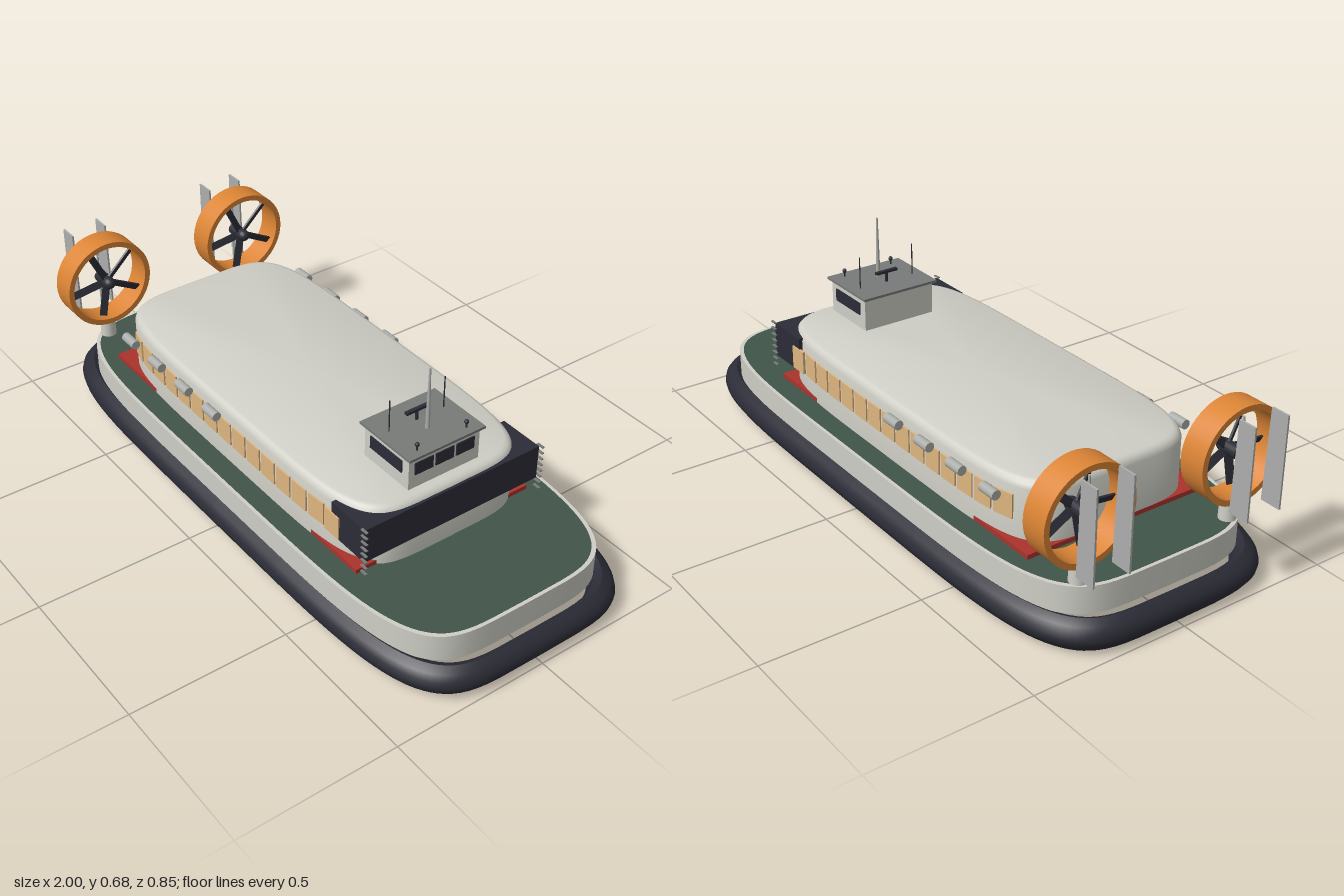
import * as THREE from 'three';
import { toCreasedNormals } from 'three/addons/utils/BufferGeometryUtils.js';

const mat = (name, color) => {
  const m = new THREE.MeshStandardMaterial({ color });
  m.name = name;
  return m;
};

// Stack of rounded-rectangle rings. Each row is [inset, y]; a null inset closes to the centre.
function loft(rows, a, b, n, cx = 0, seg = 96) {
  const pos = [], idx = [];
  const pow = (v) => Math.sign(v) * Math.abs(v) ** (2 / n);
  for (const [inset, y] of rows) {
    for (let j = 0; j < seg; j++) {
      const t = (j / seg) * Math.PI * 2;
      const rx = inset === null ? 0 : a - inset, rz = inset === null ? 0 : b - inset;
      pos.push(cx + rx * pow(Math.cos(t)), y, rz * pow(Math.sin(t)));
    }
  }
  for (let i = 0; i < rows.length - 1; i++) {
    for (let j = 0; j < seg; j++) {
      const k = (j + 1) % seg, p = i * seg, q = p + seg;
      if (rows[i + 1][0] !== null) idx.push(q + j, q + k, p + k);
      if (rows[i][0] !== null) idx.push(p + j, q + j, p + k);
      else continue;
    }
  }
  const g = new THREE.BufferGeometry();
  g.setAttribute('position', new THREE.Float32BufferAttribute(pos, 3));
  g.setIndex(idx);
  return toCreasedNormals(g, 0.6);
}

export function createModel() {
  const white = mat('hullWhite', 0xcfcfc7);
  const green = mat('deckGreen', 0x41554a);
  const dark = mat('darkRubber', 0x2c2c37);
  const orange = mat('ductOrange', 0xdb8435);
  const red = mat('trimRed', 0xab332c);
  const tan = mat('windowTan', 0xdfb67f);
  const grey = mat('roofGrey', 0x787b79);
  const pale = mat('metalGrey', 0xacaeac);

  const model = new THREE.Group();
  model.name = 'hovercraft';
  const add = (name, geo, material, x = 0, y = 0, z = 0, parent = model) => {
    const m = new THREE.Mesh(geo, material);
    m.name = name;
    m.position.set(x, y, z);
    parent.add(m);
    return m;
  };
  const box = (w, h, d) => new THREE.BoxGeometry(w, h, d);
  const rod = (r0, r1, h, s = 12) => new THREE.CylinderGeometry(r0, r1, h, s);

  // Hollow inflated skirt, hull wall and deck
  add('skirt', loft([[0.03, 0], [0.014, 0.018], [0.003, 0.035], [0, 0.05], [0.004, 0.068], [0.015, 0.085],
    [0.035, 0.098], [0.055, 0.085], [0.068, 0.05], [0.055, 0.015], [0.03, 0]], 1, 0.425, 5), dark);
  add('hullWall', loft([[0, 0.09], [0, 0.175], [0.012, 0.175], [0.012, 0.09], [0, 0.09]], 0.93, 0.39, 5), white);
  add('deck', loft([[null, 0.166], [0.011, 0.166], [0.011, 0.1758], [null, 0.1758]], 0.93, 0.39, 5), green);

  // Passenger cabin on its red base, with a wide windscreen band
  const ca = 0.66, cb = 0.316, cn = 5.5, cx = -0.06;
  add('cabinBase', box(1.29, 0.026, 0.622), red, -0.075, 0.177, 0);
  add('cabin', loft([[0, 0.176], [0, 0.345], [0.004, 0.357], [0.011, 0.366], [0.022, 0.37], [null, 0.37]],
    ca, cb, cn, cx), white);
  add('windscreenBand', box(0.15, 0.113, 0.622), dark, 0.53, 0.298, 0);

  // Side windows follow the curve of the cabin wall
  const wall = (x) => cb * (1 - Math.abs((x - cx) / ca) ** cn) ** (1 / cn);
  for (const s of [1, -1]) {
    for (let i = 0; i < 15; i++) {
      const x = -0.593 + i * 0.0752, h = 0.032;
      const z = Math.max(wall(x) + 0.0005, x > 0.42 ? 0.311 : 0);
      const slope = x > 0.42 ? 0 : Math.atan2(wall(x + h) - wall(x - h), 2 * h);
      const w = add('sideWindow', box(0.064, 0.075, 0.008), tan, x, 0.283, s * z);
      w.rotation.y = -s * slope;
    }
    // Life raft canisters
    for (let i = 0; i < 4; i++) {
      const raft = add('raftCanister', rod(0.015, 0.015, 0.062, 16), pale, -0.58 + i * 0.155, 0.326, s * 0.333);
      raft.rotation.z = Math.PI / 2;
    }
    // Ladder rungs at the forward cabin corners
    for (let i = 0; i < 8; i++) add('ladderRung', box(0.025, 0.003, 0.008), grey, 0.608, 0.21 + i * 0.021, s * 0.314);
  }

  // Wheelhouse
  const house = new THREE.Group();
  house.name = 'wheelhouse';
  model.add(house);
  add('wheelhouseBody', box(0.195, 0.112, 0.25), white, 0.457, 0.419, 0, house);
  add('wheelhouseRoof', box(0.222, 0.008, 0.268), grey, 0.457, 0.479, 0, house);
  for (const i of [-1, 0, 1]) add('frontWindow', box(0.006, 0.04, 0.064), dark, 0.555, 0.435, i * 0.073, house);
  for (const s of [1, -1]) {
    add('wheelhouseSideWindow', box(0.14, 0.04, 0.006), dark, 0.457, 0.435, s * 0.126, house);
    add('whipAntenna', rod(0.002, 0.002, 0.105, 6), dark, 0.43, 0.534, s * 0.097, house);
    add('lampPost', rod(0.003, 0.003, 0.02, 8), dark, 0.54, 0.491, s * 0.087, house);
    add('searchlight', new THREE.SphereGeometry(0.007, 12, 8), dark, 0.54, 0.502, s * 0.087, house);
  }
  add('mast', rod(0.003, 0.007, 0.2), pale, 0.478, 0.582, 0, house);
  add('radarPost', rod(0.005, 0.005, 0.035), dark, 0.43, 0.5, 0, house);
  add('radarBar', box(0.012, 0.008, 0.078), dark, 0.43, 0.517, 0, house);

  // Ducted propellers with twin rudders
  const ro = 0.149, ri = 0.131, hw = 0.0425;
  const duct = toCreasedNormals(new THREE.LatheGeometry(
    [[ro, -hw], [ro, hw], [ri, hw], [ri, -hw], [ro, -hw]].map((p) => new THREE.Vector2(...p)), 48), 0.6);
  duct.rotateZ(Math.PI / 2);
  const rudderShape = new THREE.Shape([[-0.067, -0.143], [0, -0.143], [-0.008, 0.143], [-0.067, 0.143]]
    .map((p) => new THREE.Vector2(...p)));
  const rudder = new THREE.ExtrudeGeometry(rudderShape, { depth: 0.006, bevelEnabled: false }).translate(0, 0, -0.003);
  for (const s of [1, -1]) {
    const fan = new THREE.Group();
    fan.name = s > 0 ? 'leftFan' : 'rightFan';
    fan.position.set(-0.868, 0.388, s * 0.262);
    model.add(fan);
    add('duct', duct, orange, 0, 0, 0, fan);
    add('pylon', rod(0.024, 0.026, 0.072, 20), white, 0, -0.178, 0, fan);
    add('strut', rod(0.004, 0.004, 0.25, 8), pale, -0.03, -0.01, 0, fan);
    add('hub', rod(0.02, 0.02, 0.06, 20), dark, 0.005, 0, 0, fan).rotation.z = Math.PI / 2;
    const nose = add('spinner', new THREE.SphereGeometry(0.02, 16, 10), dark, 0.035, 0, 0, fan);
    nose.scale.x = 1.1;
    for (let i = 0; i < 5; i++) {
      const blade = new THREE.Group();
      blade.name = 'blade';
      blade.position.x = 0.02;
      blade.rotation.x = THREE.MathUtils.degToRad(-(90 - 43) + 72 * i);
      fan.add(blade);
      add('bladePlate', box(0.006, 0.118, 0.024), dark, 0, 0.067, 0, blade).rotation.y = 0.45;
    }
    for (const k of [1, -1]) add('rudder', rudder, pale, -0.065, 0, k * 0.059, fan);
  }
  return model;
}
